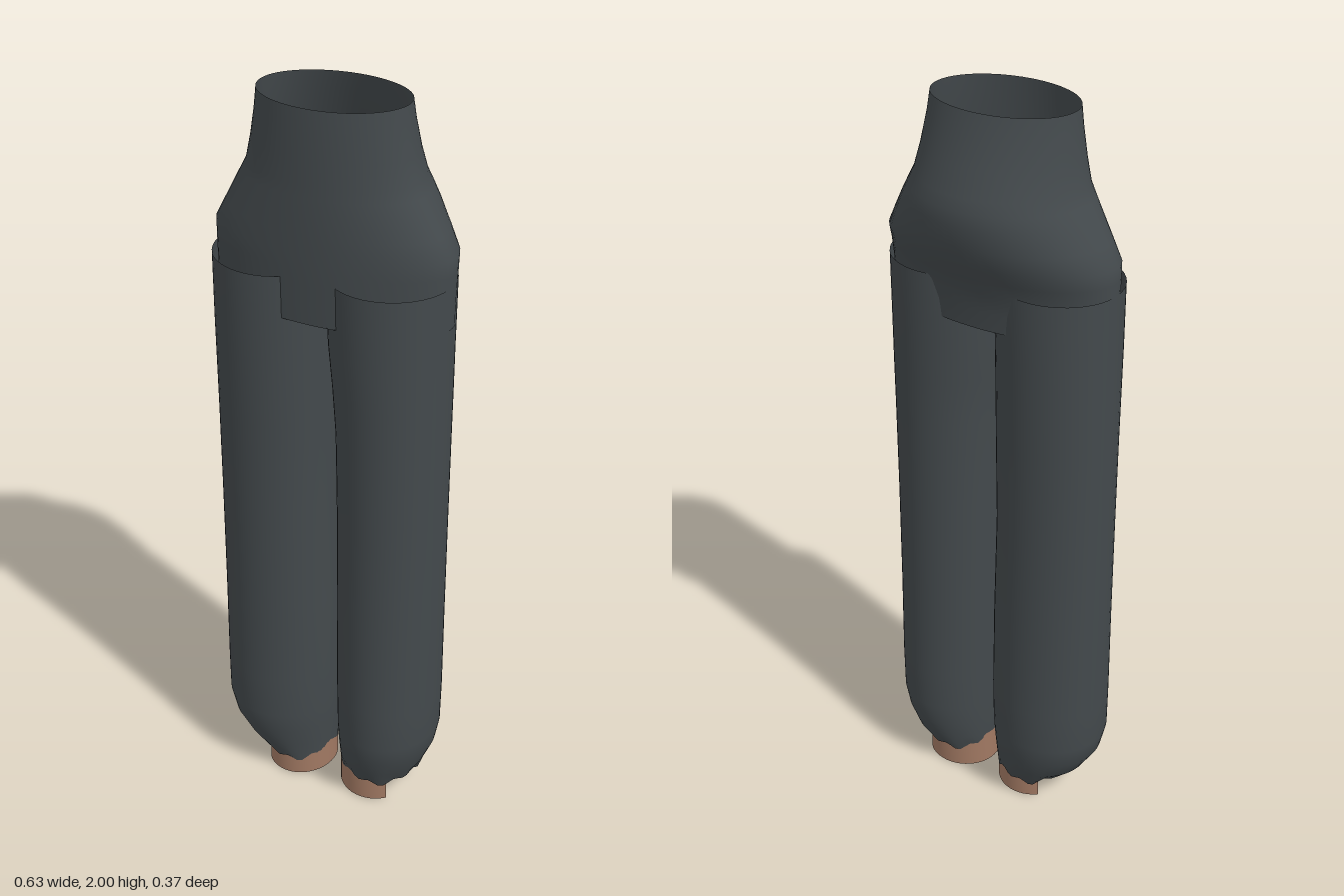
import * as THREE from 'three';

const cloth = new THREE.MeshStandardMaterial({ color: 0x43494c, side: THREE.DoubleSide });
cloth.name = 'charcoal cloth';
const skin = new THREE.MeshStandardMaterial({ color: 0xa07862, side: THREE.DoubleSide });
skin.name = 'skin';

const MID_Z = 0.025;

// Open tube through oval rings [y, left x, right x, front z, back z], top to bottom.
// from/to limit the arc (0 = +x, quarter turn = front); hem makes the last ring uneven.
function loft(rings, { from = 0, to = Math.PI * 2, hem = 0, segments = 48 } = {}) {
  const pos = [], index = [], row = segments + 1;
  rings.forEach(([y, x0, x1, front, back], r) => {
    for (let i = 0; i <= segments; i++) {
      const a = from + (to - from) * i / segments;
      const s = Math.sin(a);
      const reach = s > 0 ? front - MID_Z : MID_Z - back;
      const lift = r === rings.length - 1 ? hem * Math.sin(a * 7) * Math.cos(a * 3) : 0;
      pos.push((x0 + x1) / 2 + Math.cos(a) * (x1 - x0) / 2, y + lift, MID_Z + s * reach);
    }
  });
  for (let r = 0; r < rings.length - 1; r++) {
    for (let i = 0; i < segments; i++) {
      const a = r * row + i, b = a + row;
      index.push(a, a + 1, b, a + 1, b + 1, b);
    }
  }
  const g = new THREE.BufferGeometry();
  g.setAttribute('position', new THREE.Float32BufferAttribute(pos, 3));
  g.setIndex(index);
  g.computeVertexNormals();
  // Join the normals across the seam of a full ring
  if (to - from > 6.28) {
    const n = g.attributes.normal, v = new THREE.Vector3(), w = new THREE.Vector3();
    for (let r = 0; r < rings.length; r++) {
      const a = r * row, b = a + segments;
      v.fromBufferAttribute(n, a).add(w.fromBufferAttribute(n, b)).normalize();
      n.setXYZ(a, v.x, v.y, v.z);
      n.setXYZ(b, v.x, v.y, v.z);
    }
  }
  return g;
}

function add(group, name, geometry, material) {
  const mesh = new THREE.Mesh(geometry, material);
  mesh.name = name;
  group.add(mesh);
  return mesh;
}

export function createModel() {
  const model = new THREE.Group();
  model.name = 'trousers';

  // Hips: open waist, flat front, rounded seat
  const hips = [
    [2.0, 0.19, 0.16, -0.105], [1.95, 0.196, 0.162, -0.12], [1.88, 0.208, 0.164, -0.147],
    [1.82, 0.222, 0.165, -0.173], [1.79, 0.238, 0.166, -0.183], [1.755, 0.257, 0.167, -0.188],
    [1.7, 0.287, 0.168, -0.182], [1.65, 0.314, 0.168, -0.166], [1.61, 0.314, 0.168, -0.146],
    [1.57, 0.314, 0.167, -0.13], [1.52, 0.313, 0.166, -0.121], [1.47, 0.313, 0.165, -0.117],
  ].map(([y, rx, front, back]) => [y, -rx, rx, front, back]);
  add(model, 'hips', loft(hips, { segments: 64 }), cloth);

  // Half floor closing the front of the crotch
  const floor = new THREE.Shape();
  floor.absellipse(0, 0, 0.313, 0.14, Math.PI, Math.PI * 2, false);
  const crotch = add(model, 'crotchPanel', new THREE.ShapeGeometry(floor, 32), cloth);
  crotch.rotation.x = -Math.PI / 2;
  crotch.position.set(0, 1.472, MID_Z);

  // Legs: [y, inner x, outer x, front z, back z], measured outward from the middle
  const legs = {
    left: [
      [1.58, -0.005, 0.311, 0.186, -0.124], [1.4, 0.002, 0.31, 0.185, -0.123],
      [1.28, 0.013, 0.31, 0.181, -0.12], [1.15, 0.022, 0.31, 0.178, -0.116],
      [0.9, 0.025, 0.31, 0.175, -0.114], [0.6, 0.025, 0.31, 0.178, -0.117],
      [0.35, 0.028, 0.31, 0.184, -0.123], [0.23, 0.03, 0.308, 0.184, -0.123],
      [0.17, 0.031, 0.297, 0.175, -0.115], [0.11, 0.033, 0.272, 0.156, -0.1],
      [0.07, 0.035, 0.255, 0.14, -0.08],
    ],
    right: [
      [1.58, -0.005, 0.315, 0.186, -0.124], [1.4, 0.0, 0.315, 0.185, -0.123],
      [1.15, 0.0, 0.315, 0.178, -0.116], [0.9, 0.002, 0.315, 0.175, -0.114],
      [0.6, -0.006, 0.315, 0.178, -0.117], [0.35, -0.008, 0.315, 0.184, -0.123],
      [0.23, -0.006, 0.314, 0.184, -0.123], [0.17, -0.003, 0.3, 0.175, -0.115],
      [0.11, 0.001, 0.263, 0.156, -0.1], [0.06, 0.004, 0.21, 0.14, -0.08],
    ],
  };
  // Ankles, open at the bottom and missing a piece on the outer side
  const ankles = { left: [0.032, 0.237], right: [0.003, 0.198] };
  const gap = 0.85;

  for (const side of ['left', 'right']) {
    const outward = ([y, a, b, front, back]) =>
      side === 'left' ? [y, a, b, front, back] : [y, -b, -a, front, back];
    const leg = new THREE.Group();
    leg.name = side + 'Leg';
    add(leg, side + 'TrouserLeg', loft(legs[side].map(outward), { hem: 0.014 }), cloth);
    const start = side === 'left' ? 0 : Math.PI;
    const [inner, outer] = ankles[side];
    const rings = [[0.1, inner, outer, 0.135, -0.072], [0, inner, outer, 0.135, -0.072]];
    add(leg, side + 'Ankle',
      loft(rings.map(outward), { from: start + gap, to: start + Math.PI * 2 - gap, segments: 32 }), skin);
    model.add(leg);
  }
  return model;
}
